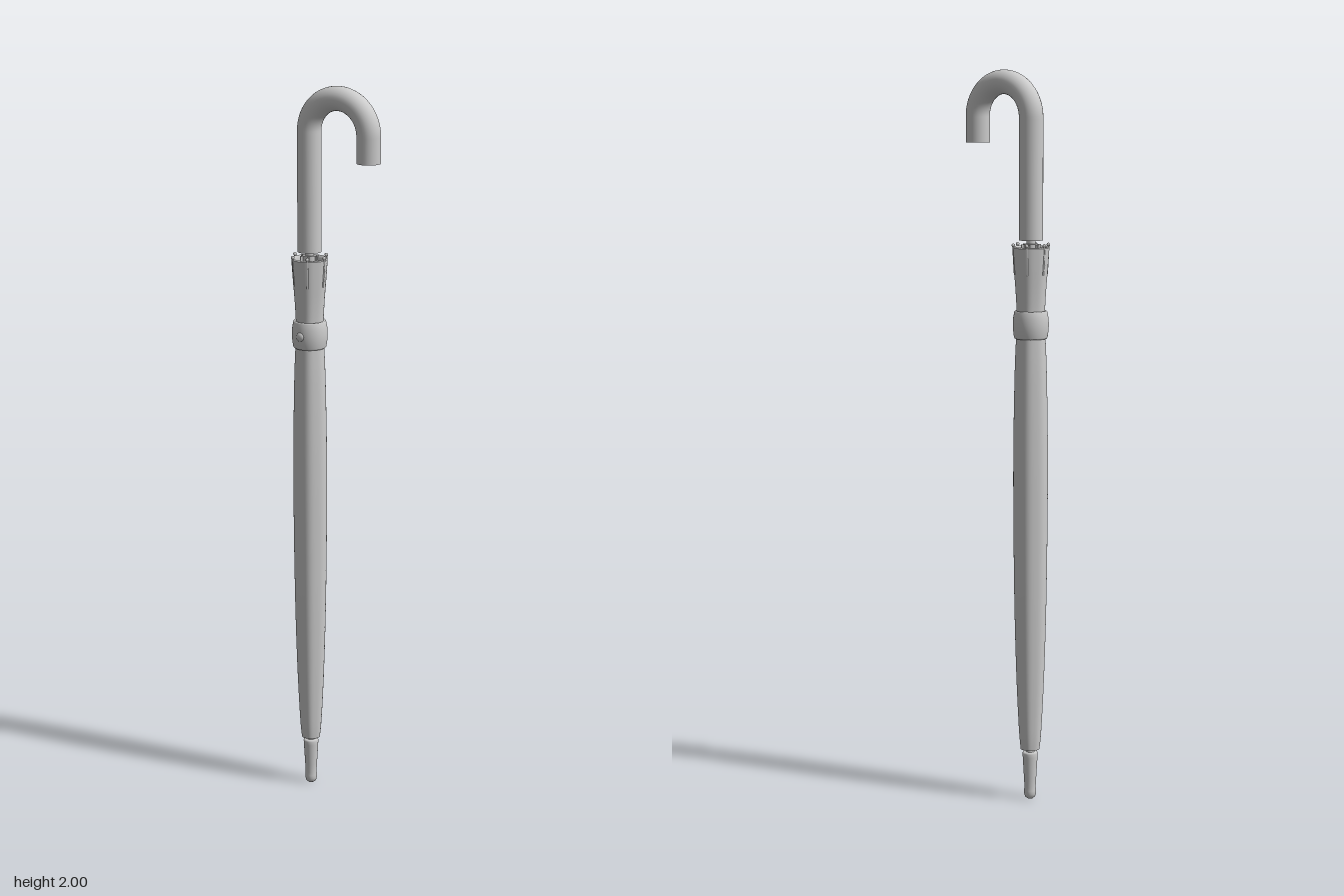
import * as THREE from 'three';

const AXIS = -0.085; // x of the shaft
const RIBS = 6;

const material = new THREE.MeshStandardMaterial({ color: 0xcccccc });
const thin = new THREE.MeshStandardMaterial({ color: 0xcccccc, side: THREE.DoubleSide });

function add(parent, name, geometry, mat = material) {
  const mesh = new THREE.Mesh(geometry, mat);
  mesh.name = name;
  parent.add(mesh);
  return mesh;
}

const points = (profile) => profile.map(([r, y]) => new THREE.Vector2(r, y));
const lathe = (profile, segments = 40) => new THREE.LatheGeometry(points(profile), segments);

// Smooth profile through a few radius/height points
const smoothLathe = (profile, steps, segments) =>
  new THREE.LatheGeometry(new THREE.SplineCurve(points(profile)).getPoints(steps), segments);

// Straight grip followed by a half-circle hook and a short straight end
class HookCurve extends THREE.Curve {
  getPoint(t, target = new THREE.Vector3()) {
    const r = 0.0925, top = 1.875, up = top - 1.55, arc = Math.PI * r, down = 0.07;
    const s = t * (up + arc + down);
    if (s < up) return target.set(AXIS, 1.55 + s, 0);
    if (s > up + arc) return target.set(AXIS + 2 * r, top - (s - up - arc), 0);
    const a = Math.PI - (s - up) / r;
    return target.set(AXIS + r + r * Math.cos(a), top + r * Math.sin(a), 0);
  }
}

function makeHandle() {
  const handle = new THREE.Group();
  handle.name = 'handle';
  const radius = 0.0325;
  add(handle, 'hookedGrip', new THREE.TubeGeometry(new HookCurve(), 90, radius, 28));
  // Flat caps, both facing down
  for (const [name, x, y] of [['gripCap', AXIS, 1.55], ['hookCap', AXIS + 0.185, 1.805]]) {
    const cap = add(handle, name, new THREE.CircleGeometry(radius, 28));
    cap.rotation.x = Math.PI / 2;
    cap.position.set(x, y, 0);
  }
  return handle;
}

// Rolled cloth with gentle folds between the ribs
function makeCanopy() {
  const geometry = smoothLathe([
    [0.026, 0.143], [0.031, 0.2], [0.038, 0.35], [0.0435, 0.55], [0.0465, 0.8], [0.0465, 1.0],
    [0.043, 1.2], [0.038, 1.33], [0.04, 1.4], [0.046, 1.48], [0.0495, 1.53],
  ], 50, 72);
  const p = geometry.attributes.position;
  for (let i = 0; i < p.count; i++) {
    const a = Math.atan2(p.getZ(i), p.getX(i));
    const k = 1 + 0.02 * Math.cos(RIBS * (a - 0.07));
    p.setXYZ(i, p.getX(i) * k, p.getY(i), p.getZ(i) * k);
  }
  geometry.computeVertexNormals();
  return geometry;
}

export function createModel() {
  const model = new THREE.Group();
  model.name = 'umbrella';
  model.add(makeHandle());

  const body = new THREE.Group();
  body.name = 'body';
  body.position.x = AXIS;
  model.add(body);

  add(body, 'canopy', makeCanopy(), thin);
  // Hem rolled into the open end, and the closed lower end
  add(body, 'canopyHem', lathe([[0.0495, 1.53], [0.046, 1.533], [0.041, 1.525], [0.036, 1.46], [0.02, 1.42]]), thin);
  add(body, 'canopyEnd', lathe([[0.012, 0.143], [0.026, 0.143]]), thin);

  // Shaft with the runner under the grip
  const shaft = add(body, 'shaft', new THREE.CylinderGeometry(0.012, 0.012, 1.43, 20));
  shaft.position.y = 0.835;
  const runner = add(body, 'runner', new THREE.CylinderGeometry(0.02, 0.02, 0.1, 24));
  runner.position.y = 1.49;

  // Rib ends around the rim
  for (let i = 0; i < RIBS; i++) {
    const rib = new THREE.Group();
    rib.name = 'rib' + (i + 1);
    rib.rotation.y = -(0.07 + i * Math.PI * 2 / RIBS);
    const rod = add(rib, 'ribRod', new THREE.CylinderGeometry(0.003, 0.003, 0.08, 8));
    rod.position.set(0.047, 1.498, 0);
    rod.rotation.z = -0.06;
    const tip = add(rib, 'ribTip', new THREE.SphereGeometry(0.005, 12, 8));
    tip.position.set(0.049, 1.537, 0);
    const strut = add(rib, 'ribStrut', new THREE.BoxGeometry(0.008, 0.022, 0.005));
    strut.position.set(0.023, 1.528, 0);
    body.add(rib);
  }

  // Closing strap and its button
  add(body, 'strap', lathe([
    [0.038, 1.287], [0.043, 1.286], [0.0455, 1.29], [0.048, 1.31], [0.0485, 1.325],
    [0.0475, 1.342], [0.0445, 1.358], [0.042, 1.361], [0.036, 1.36],
  ], 48), thin);
  const button = add(body, 'button', new THREE.SphereGeometry(0.012, 20, 12));
  button.scale.z = 0.45;
  button.position.set(0, 1.323, 0.049);

  // Pointed end piece with a rounded foot
  add(body, 'ferrule', lathe([
    [0, 0], [0.008, 0.001], [0.014, 0.006], [0.0165, 0.015], [0.0165, 0.024], [0.0155, 0.034],
    [0.017, 0.06], [0.0205, 0.12], [0.021, 0.13], [0.019, 0.135], [0, 0.135],
  ], 32));

  return model;
}
